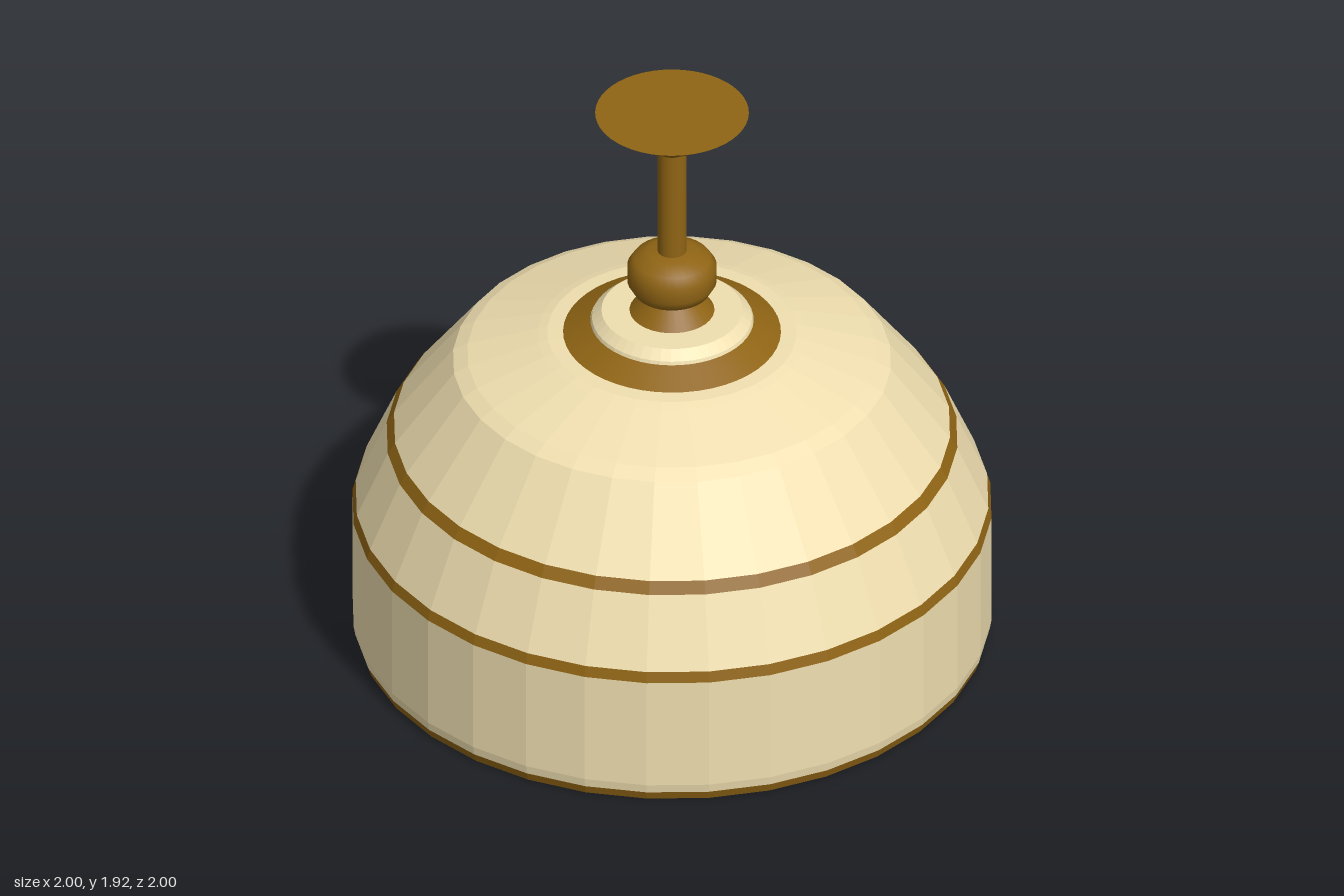
import * as THREE from 'three';

const mat = (color, flat) => new THREE.MeshStandardMaterial({ color, flatShading: flat, side: THREE.DoubleSide });
const cream = mat(0xf0dfb0, true);
const brass = mat(0x8f6414, true);
const brassSmooth = mat(0x8f6414, false);
const glow = mat(0xdcc060, true);

export function createModel() {
  const group = new THREE.Group();
  const add = (name, geometry, material) => {
    const mesh = new THREE.Mesh(geometry, material);
    mesh.name = name;
    group.add(mesh);
    return mesh;
  };
  const lathe = (name, profile, material, sides = 32) =>
    add(name, new THREE.LatheGeometry(profile.map(([r, y]) => new THREE.Vector2(r, y)), sides), material);

  // Faceted shade, stacked as alternating cream panels and brass bands
  lathe('rimBand', [[0.975, 0], [0.985, 0], [0.995, 0.03]], brass);
  lathe('shadeSkirt', [[0.995, 0.03], [1, 0.06], [1, 0.445]], cream);
  lathe('lowerBand', [[1, 0.445], [0.99, 0.48]], brass);
  lathe('shadeMiddle', [[0.99, 0.48], [0.893, 0.705]], cream);
  lathe('upperBand', [[0.893, 0.705], [0.87, 0.742]], brass);
  lathe('shadeShoulder', [[0.87, 0.742], [0.685, 0.99], [0.64, 1.015], [0.42, 1.085], [0.39, 1.093], [0.34, 1.095]], cream);
  lathe('collarBand', [[0.34, 1.095], [0.255, 1.14]], brassSmooth, 48);
  lathe('shadeCap', [[0.255, 1.135], [0.25, 1.15], [0.22, 1.178], [0.1, 1.178]], cream, 48);

  // Inner lining with a small ledge above the rim
  lathe('innerLining', [[0.975, 0], [0.89, 0.1], [0.82, 0.11], [0.56, 0.86], [0.3, 1.02], [0, 1.06]], cream);

  // Globe bulb
  add('bulb', new THREE.IcosahedronGeometry(0.36, 2), glow).position.y = 0.4;
  lathe('bulbSocket', [[0.12, 0.7], [0.12, 1.05]], brassSmooth);

  // Fitting above the shade: neck, knob, stem and ceiling canopy
  lathe('neck', [[0.14, 1.17], [0.075, 1.24]], brassSmooth);
  lathe('knob', [[0, 1.235], [0.08, 1.235], [0.12, 1.255], [0.14, 1.29], [0.14, 1.345], [0.12, 1.375], [0.075, 1.4], [0, 1.405]], brassSmooth);
  add('stem', new THREE.CylinderGeometry(0.045, 0.045, 0.4, 32), brassSmooth).position.y = 1.59;
  add('canopy', new THREE.CylinderGeometry(0.24, 0.045, 0.14, 48), brassSmooth).position.y = 1.85;

  return group;
}
